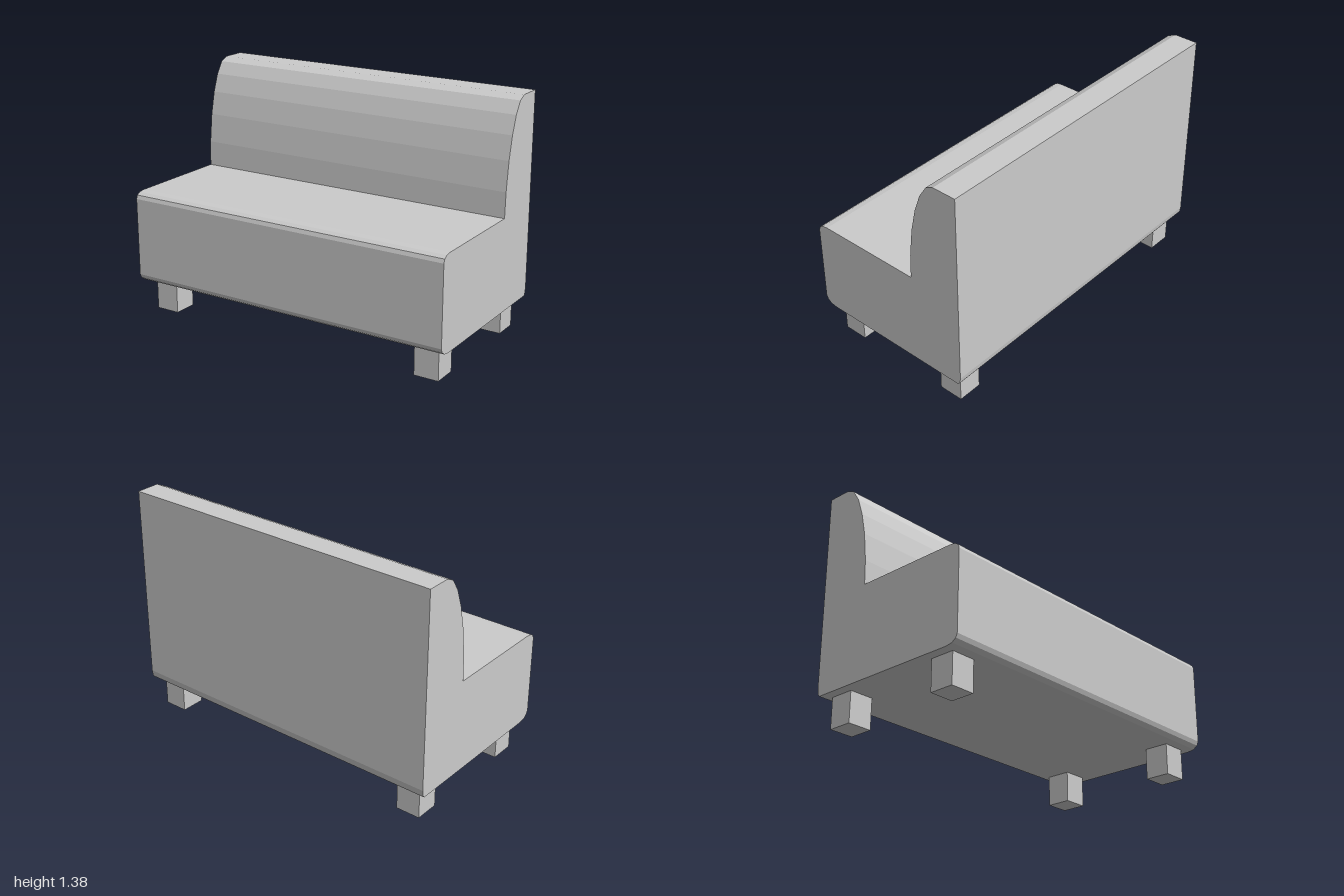
import * as THREE from 'three';

export function createModel() {
  const group = new THREE.Group();
  group.name = 'bench';
  const material = new THREE.MeshStandardMaterial({ color: 0xcccccc, flatShading: true });

  // Side profile of seat and backrest as (z, y), swept across the full width
  const profile = [
    [-0.5, 0.18], [0.44, 0.18], [0.48, 0.187], [0.505, 0.205], [0.515, 0.228], // lower front edge
    [0.515, 0.692], [0.507, 0.714], [0.485, 0.728], [0.45, 0.733],             // upper front edge
    [-0.185, 0.733], [-0.19, 0.88], [-0.21, 1.05], [-0.24, 1.185],             // curved backrest
    [-0.278, 1.29], [-0.323, 1.36], [-0.372, 1.383],
    [-0.515, 1.383], [-0.515, 0.228], [-0.51, 0.195],                          // back
  ];
  const shape = new THREE.Shape(profile.map(([z, y]) => new THREE.Vector2(z, y)));
  const bodyGeometry = new THREE.ExtrudeGeometry(shape, { depth: 2, bevelEnabled: false });
  bodyGeometry.rotateY(-Math.PI / 2).translate(1, 0, 0);
  const body = new THREE.Mesh(bodyGeometry, material);
  body.name = 'seatAndBackrest';
  group.add(body);

  // Four square legs
  const legGeometry = new THREE.BoxGeometry(0.146, 0.18, 0.146);
  for (const [side, x] of [['Left', 0.87], ['Right', -0.87]]) {
    for (const [end, z] of [['front', 0.357], ['back', -0.386]]) {
      const leg = new THREE.Mesh(legGeometry, material);
      leg.name = `${end}${side}Leg`;
      leg.position.set(x, 0.09, z);
      group.add(leg);
    }
  }
  return group;
}
